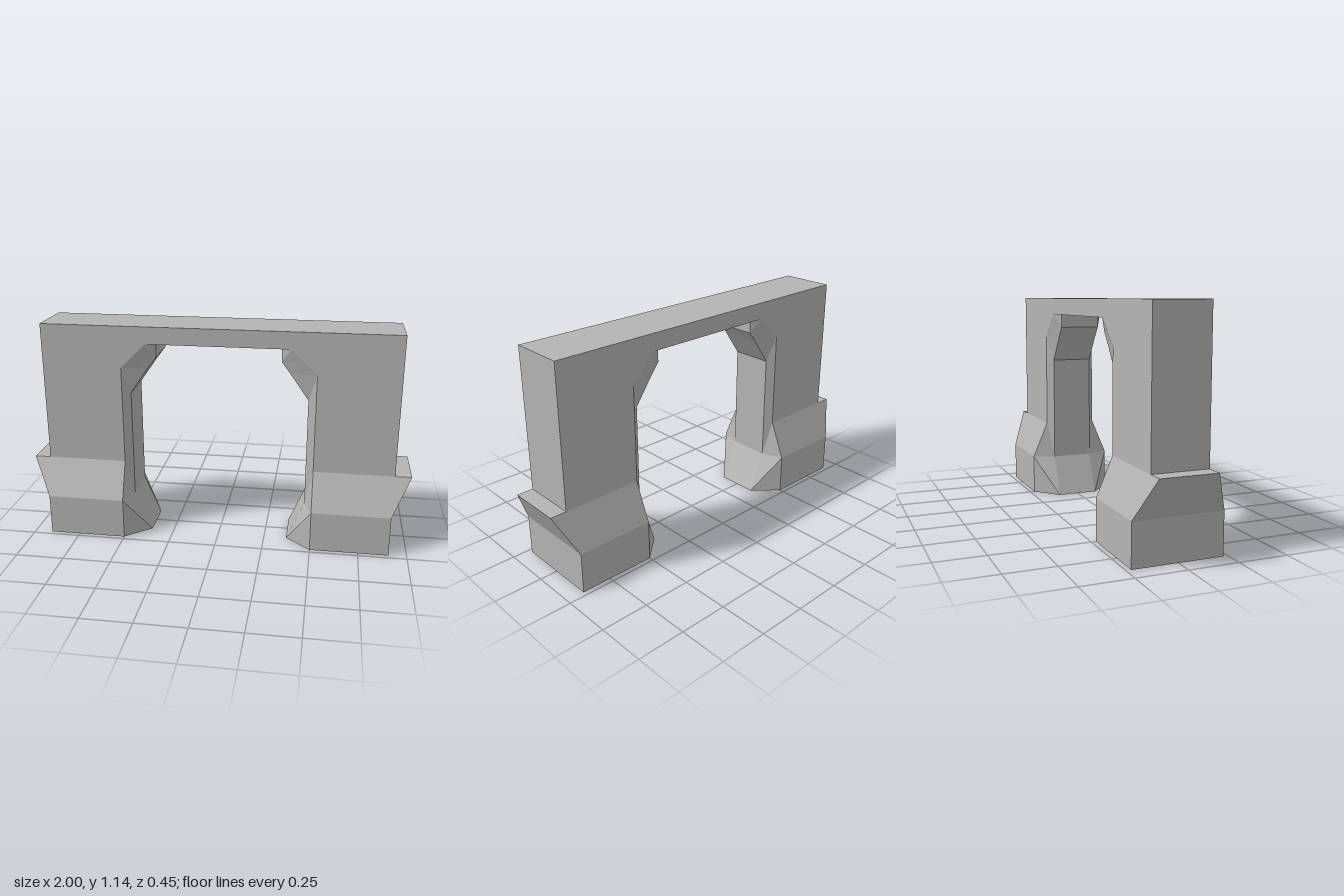
import * as THREE from 'three';

// Six-sided section, symmetric in z: outer edge, front corner, inner edge
function ring([y, outerX, cornerX, innerX, wide]) {
  const half = [[outerX, wide], [cornerX, wide], [innerX, 0.11]];
  const back = half.slice().reverse().map(([x, z]) => [x, -z]);
  return [...half, ...back].map(([x, z]) => [x, y, z]);
}

// Skin between stacked sections, with optional end caps
function loft(levels, capped) {
  const rings = levels.map(ring);
  const pos = [];
  const tri = (...points) => points.forEach((p) => pos.push(...p));
  for (let i = 0; i < rings.length - 1; i++) {
    for (let j = 0; j < 6; j++) {
      const k = (j + 1) % 6;
      const a = rings[i][j], b = rings[i][k], c = rings[i + 1][k], d = rings[i + 1][j];
      if (j < 3) { tri(a, d, b); tri(d, c, b); } else { tri(a, d, c); tri(a, c, b); }
    }
  }
  if (capped) {
    const low = rings[0], high = rings[rings.length - 1];
    for (let j = 1; j < 5; j++) {
      tri(low[0], low[j], low[j + 1]);
      tri(high[0], high[j + 1], high[j]);
    }
  }
  const geometry = new THREE.BufferGeometry();
  geometry.setAttribute('position', new THREE.Float32BufferAttribute(pos, 3));
  geometry.computeVertexNormals();
  return geometry;
}

export function createModel() {
  const model = new THREE.Group();
  model.name = 'archway';
  const stone = new THREE.MeshStandardMaterial({ color: 0xb4b4b4 });
  stone.name = 'grey stone';

  const add = (parent, name, geometry) => {
    const mesh = new THREE.Mesh(geometry, stone);
    mesh.name = name;
    parent.add(mesh);
    return mesh;
  };

  // Levels: y, outer x, corner x, inner x, half depth
  const footGeometry = loft([
    [0, 0.907, 0.5, 0.37, 0.226],
    [0.213, 0.907, 0.5, 0.46, 0.226],
    [0.41, 1.0, 0.5, 0.46, 0.142],
  ], true);
  const pillarGeometry = loft([
    [0.41, 0.916, 0.5, 0.46, 0.142],
    [0.785, 0.916, 0.5, 0.46, 0.142],
    [0.925, 0.916, 0.5, 0.362, 0.142],
    [0.98, 0.916, 0.443, 0.32, 0.142],
    [1.053, 0.916, 0.37, 0.32, 0.142],
  ], false);

  // Two legs; a half turn mirrors the symmetric section
  for (const side of ['left', 'right']) {
    const leg = new THREE.Group();
    leg.name = side + 'Leg';
    add(leg, side + 'Foot', footGeometry);
    add(leg, side + 'Pillar', pillarGeometry);
    if (side === 'right') leg.rotation.y = Math.PI;
    model.add(leg);
  }

  // Lintel across the top
  const lintel = add(model, 'lintel', new THREE.BoxGeometry(1.832, 0.089, 0.284));
  lintel.position.y = 1.0975;

  return model;
}
